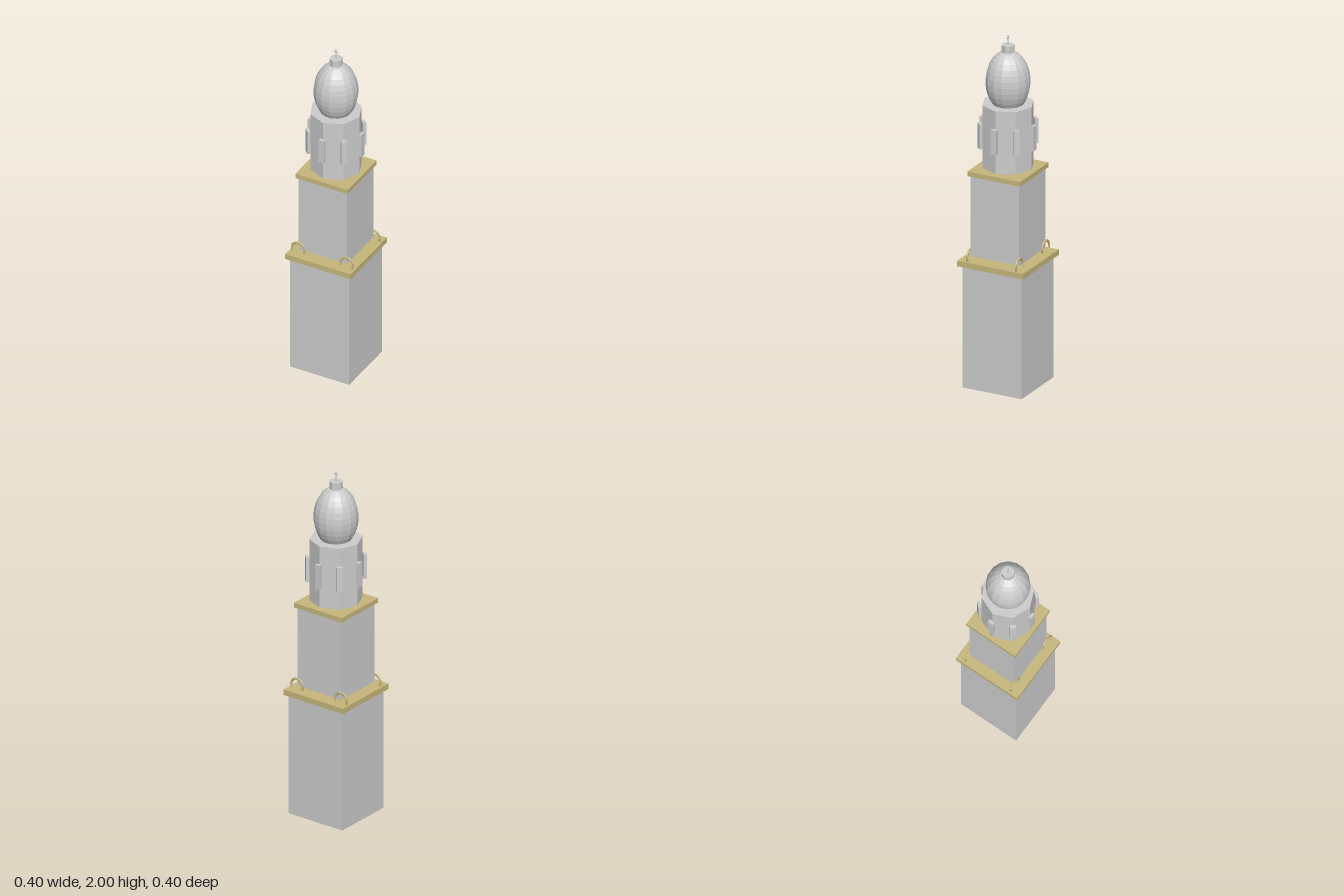
import * as THREE from 'three';

const stone = new THREE.MeshStandardMaterial({ color: 0xcccccc, flatShading: true });
const gold = new THREE.MeshStandardMaterial({ color: 0xc6b67c, flatShading: true });

export function createModel() {
  const tower = new THREE.Group();
  tower.name = 'bellTower';

  const add = (name, geometry, material, x = 0, y = 0, z = 0) => {
    const mesh = new THREE.Mesh(geometry, material);
    mesh.name = name;
    mesh.position.set(x, y, z);
    tower.add(mesh);
    return mesh;
  };
  // Square storey of a given width between two heights
  const storey = (name, width, y0, y1, material) =>
    add(name, new THREE.BoxGeometry(width, y1 - y0, width), material, 0, (y0 + y1) / 2, 0);
  // Upright eight-sided prism with corners on the axes
  const octagon = (name, radius, y0, y1) =>
    add(name, new THREE.CylinderGeometry(radius, radius, y1 - y0, 8), stone, 0, (y0 + y1) / 2, 0);

  // Square shafts and their cornices
  storey('lowerShaft', 0.36, 0, 0.7, stone);
  storey('lowerCornice', 0.4, 0.7, 0.732, gold);
  storey('upperShaft', 0.294, 0.75, 1.213, stone);
  storey('upperCornice', 0.32, 1.213, 1.24, gold);

  // Ring ornaments at the four corners, sunk into the lower cornice
  const ringGeometry = new THREE.TorusGeometry(0.039, 0.007, 8, 20);
  ringGeometry.scale(1, 1, 0.75);
  for (const x of [-0.148, 0.148]) {
    for (const z of [-0.148, 0.148]) add('cornerRing', ringGeometry, gold, x, 0.752, z);
  }

  // Belfry with a window panel standing before every corner
  octagon('belfry', 0.143, 1.25, 1.61);
  const panelGeometry = new THREE.BoxGeometry(0.034, 0.142, 0.018);
  for (let i = 0; i < 8; i++) {
    const a = (i * Math.PI) / 4;
    const panel = add('windowPanel', panelGeometry, stone, Math.sin(a) * 0.155, 1.437, Math.cos(a) * 0.155);
    panel.rotation.y = a;
  }

  // Egg-shaped faceted dome
  const dome = add('dome', new THREE.SphereGeometry(0.121, 16, 16), stone, 0, 1.735, 0);
  dome.scale.y = 1.46;
  dome.rotation.y = Math.PI / 16;

  // Lantern and cross
  octagon('lantern', 0.035, 1.9, 1.945);
  add('crossPost', new THREE.BoxGeometry(0.005, 0.055, 0.005), stone, 0, 1.9725, 0);
  add('crossBar', new THREE.BoxGeometry(0.03, 0.005, 0.005), stone, 0, 1.985, 0);

  return tower;
}
